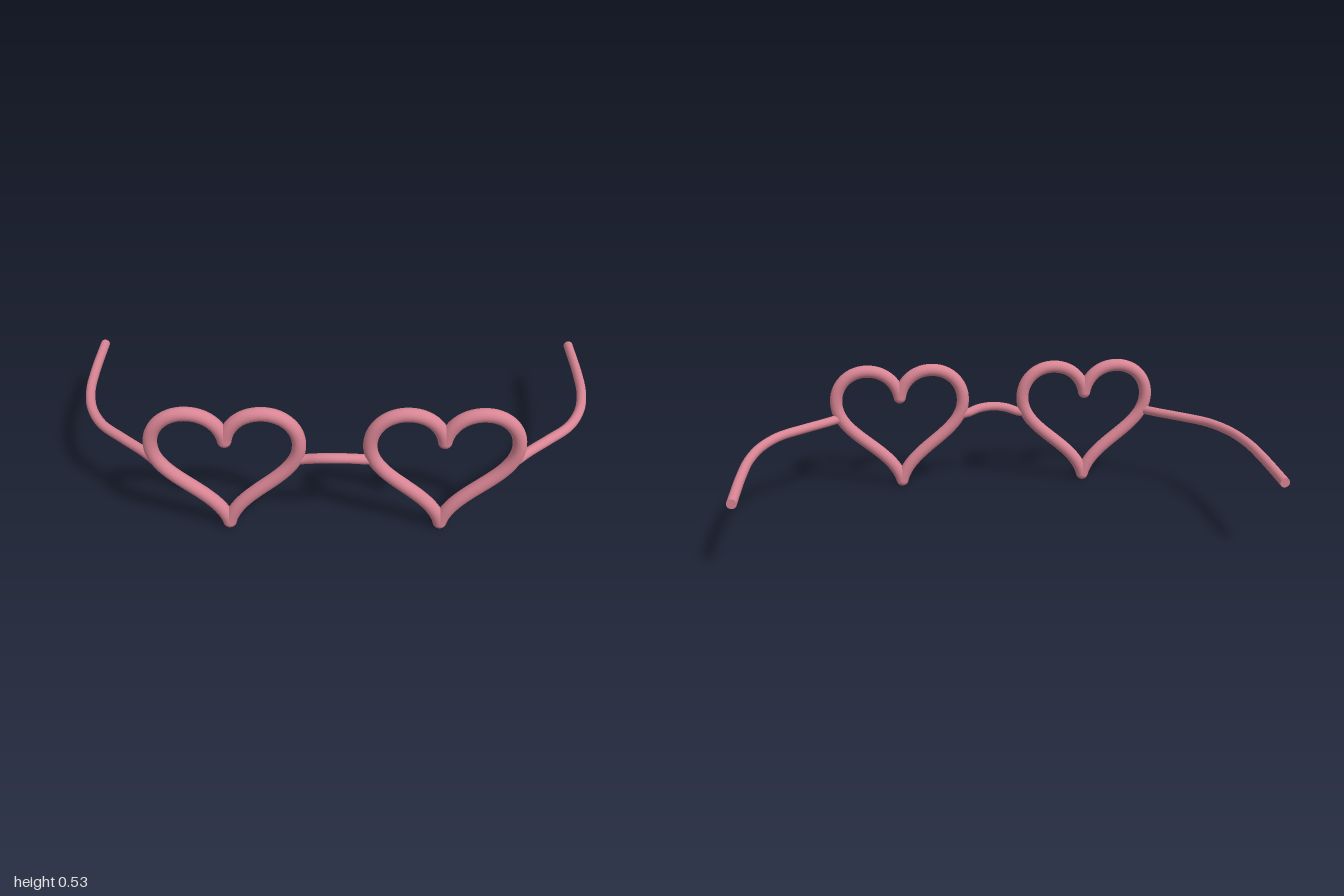
import * as THREE from 'three';

const frameZ = 0.4, rimR = 0.0255, armR = 0.0185;
const v = (x, y, z) => new THREE.Vector3(x, y, z);

// Right half of the heart outline, from the cleft down to the tip
function halfHeart() {
  const path = new THREE.CurvePath();
  const add = (a, b, c, d) => path.add(new THREE.CubicBezierCurve3(
    v(...a, 0), v(...b, 0), v(...c, 0), v(...d, 0)));
  add([0, 0.395], [0.012, 0.465], [0.065, 0.51], [0.134, 0.51]);
  add([0.134, 0.51], [0.206, 0.51], [0.264, 0.455], [0.264, 0.38]);
  add([0.264, 0.38], [0.264, 0.23], [0.04, 0.18], [0, 0.026]);
  return path;
}

export function createModel() {
  const pink = new THREE.MeshStandardMaterial({ color: 0xd98594 });
  pink.name = 'rosePink';
  const model = new THREE.Group();
  model.name = 'heartGlasses';

  const addMesh = (parent, name, geometry) => {
    const mesh = new THREE.Mesh(geometry, pink);
    mesh.name = name;
    parent.add(mesh);
    return mesh;
  };

  // Tube along points mirrored to either side
  const pointsOnSide = (pts, s) => new THREE.CatmullRomCurve3(pts.map(([x, y, z]) => v(s * x, y, z)));

  // Heart rims, each of two mirrored halves joined by round corners
  const outline = halfHeart().getSpacedPoints(60);
  for (const side of [-1, 1]) {
    const rim = new THREE.Group();
    rim.name = side > 0 ? 'leftRim' : 'rightRim';
    rim.position.set(side * 0.39, 0, frameZ);
    for (const s of [-1, 1]) {
      const curve = new THREE.CatmullRomCurve3(outline.map(p => v(s * p.x, p.y, 0)));
      addMesh(rim, 'rimHalf', new THREE.TubeGeometry(curve, 80, rimR, 20));
    }
    for (const [name, y] of [['cleftJoint', 0.395], ['tipJoint', 0.026]]) {
      addMesh(rim, name, new THREE.SphereGeometry(rimR, 20, 14)).position.y = y;
    }
    model.add(rim);
  }

  // Bridge, bowed up and forward
  const bridge = pointsOnSide([
    [-0.14, 0.312, 0.398], [-0.105, 0.318, 0.403], [-0.055, 0.332, 0.417], [0, 0.337, 0.423],
    [0.055, 0.332, 0.417], [0.105, 0.318, 0.403], [0.14, 0.312, 0.398],
  ], 1);
  addMesh(model, 'bridge', new THREE.TubeGeometry(bridge, 40, armR, 16));

  // Temple arms sweeping outward and back, with closed ends
  const armPoints = [
    [0.65, 0.31, 0.395], [0.70, 0.311, 0.345], [0.78, 0.312, 0.275], [0.87, 0.312, 0.19],
    [0.93, 0.309, 0.08], [0.962, 0.304, -0.05], [0.974, 0.297, -0.2], [0.979, 0.285, -0.44],
  ];
  for (const side of [-1, 1]) {
    const arm = new THREE.Group();
    arm.name = side > 0 ? 'leftTemple' : 'rightTemple';
    const curve = pointsOnSide(armPoints, side);
    addMesh(arm, 'templeArm', new THREE.TubeGeometry(curve, 80, armR, 16));
    for (const t of [0, 1]) {
      const cap = addMesh(arm, 'templeEnd', new THREE.CircleGeometry(armR, 16));
      const dir = curve.getTangentAt(t).multiplyScalar(t ? 1 : -1);
      cap.position.copy(curve.getPointAt(t));
      cap.quaternion.setFromUnitVectors(v(0, 0, 1), dir);
    }
    model.add(arm);
  }
  return model;
}
